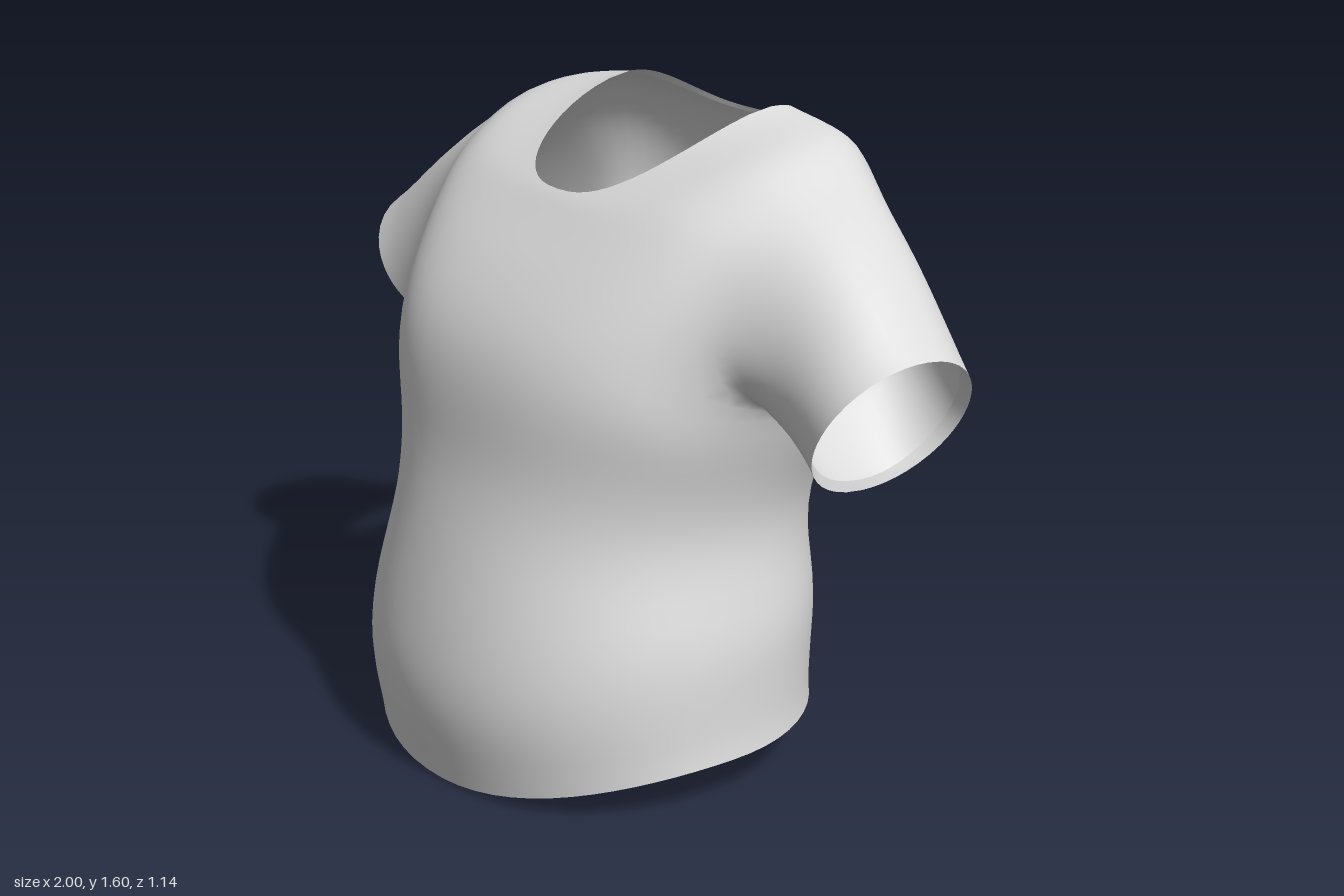
import * as THREE from 'three';

const COLS = 64, STEPS = 4, SLEEVE_RINGS = 12, HOLE_FRONT = 5, HOLE_BACK = 6;

// Torso rings, hem to neck: half width, side z, front z, back z, side y, front y, back y,
// squareness, sharpness of the front dip
const RINGS = [
  [0.588, 0.05, 0.535, -0.48, 0.12, 0.00, 0.13, 2.1, 2],
  [0.584, 0.05, 0.582, -0.493, 0.27, 0.20, 0.28, 2.1, 2],
  [0.578, 0.03, 0.558, -0.497, 0.42, 0.40, 0.42, 2.1, 2],
  [0.522, 0.00, 0.508, -0.487, 0.63, 0.62, 0.62, 2.1, 2],
  [0.553, -0.05, 0.467, -0.517, 0.80, 0.80, 0.80, 2.2, 2],
  [0.605, -0.11, 0.45, -0.553, 0.96, 0.98, 1.00, 2.4, 2],
  [0.60, -0.16, 0.405, -0.577, 1.12, 1.12, 1.18, 2.6, 2],
  [0.61, -0.18, 0.315, -0.568, 1.28, 1.24, 1.32, 2.7, 2],
  [0.605, -0.21, 0.235, -0.54, 1.445, 1.32, 1.41, 2.6, 1.8],
  [0.53, -0.24, 0.185, -0.50, 1.552, 1.37, 1.48, 2.5, 1.5],
  [0.40, -0.27, 0.16, -0.47, 1.582, 1.395, 1.515, 2.5, 1.3],
  [0.275, -0.28, 0.14, -0.44, 1.602, 1.41, 1.535, 2.5, 1.2],
];
const ROWS = (RINGS.length - 1) * STEPS;
const HOLE_LOW = 5 * STEPS + 1, HOLE_HIGH = 8 * STEPS + 2;

// Smooth interpolation between the ring profiles
function ringAt(row) {
  const k = Math.min(Math.floor(row / STEPS), RINGS.length - 2), t = row / STEPS - k;
  const a = RINGS[Math.max(k - 1, 0)], b = RINGS[k], c = RINGS[k + 1];
  const d = RINGS[Math.min(k + 2, RINGS.length - 1)];
  return b.map((v, i) => v + 0.5 * t * (c[i] - a[i]
    + t * (2 * a[i] - 5 * v + 4 * c[i] - d[i] + t * (3 * (v - c[i]) + d[i] - a[i]))));
}

function torsoPoint(row, col) {
  const [w, zs, zf, zb, ys, yf, yb, n, dip] = ringAt(row);
  const a = col / COLS * Math.PI * 2, s = Math.sin(a), c = Math.cos(a);
  const bend = (v) => Math.sign(v) * Math.abs(v) ** (2 / n);
  const x = w * bend(s) + 0.005 + 0.008 * (row / ROWS) ** 8;
  const y = c > 0 ? ys + (yf - ys) * c ** dip : ys + (yb - ys) * c * c;
  let z = zs + Math.abs(bend(c)) * ((c > 0 ? zf : zb) - zs);
  // soft cloth folds across the lower back
  const fade = Math.max(0, 1 - Math.abs(y - 0.58) / 0.35) * Math.max(0, -c);
  z += 0.009 * fade * Math.sin(y * 24 + x * 3);
  return new THREE.Vector3(x, y, z);
}

// Relaxes the mesh so the sleeves flow into the body; pinned points stay put
function relax(points, index, pinned, passes) {
  const near = points.map(() => new Set());
  for (let i = 0; i < index.length; i += 3) {
    for (let j = 0; j < 3; j++) {
      const a = index[i + j], b = index[i + (j + 1) % 3];
      near[a].add(b);
      near[b].add(a);
    }
  }
  for (let p = 0; p < passes; p++) {
    const old = points.map((v) => v.clone());
    points.forEach((v, i) => {
      if (pinned.has(i) || !near[i].size) return;
      const mean = new THREE.Vector3();
      near[i].forEach((j) => mean.add(old[j]));
      v.lerp(mean.divideScalar(near[i].size), 0.5);
    });
  }
}

function makeGeometry(points, index) {
  const g = new THREE.BufferGeometry().setFromPoints(points);
  g.setIndex(index);
  g.computeVertexNormals();
  return g;
}

function bridge(index, lower, upper) {
  lower.forEach((a, i) => {
    const j = (i + 1) % lower.length;
    index.push(a, lower[j], upper[i], lower[j], upper[j], upper[i]);
  });
}

export function createModel() {
  const group = new THREE.Group();
  group.name = 'shirt';
  const cloth = new THREE.MeshStandardMaterial({ color: 0xdcdcdc, side: THREE.DoubleSide });
  cloth.name = 'grey cloth';

  const points = [], index = [], pinned = new Set(), folds = [];
  const id = (r, c) => r * COLS + (c + COLS) % COLS;
  const rowLoop = (r) => Array.from({ length: COLS }, (_, c) => id(r, c));
  const holes = [
    { side: 1, lo: COLS / 4 - HOLE_FRONT, hi: COLS / 4 + HOLE_BACK },
    { side: -1, lo: COLS * 3 / 4 - HOLE_BACK, hi: COLS * 3 / 4 + HOLE_FRONT },
  ];

  // Torso with armholes left open
  for (let r = 0; r <= ROWS; r++) {
    for (let c = 0; c < COLS; c++) points.push(torsoPoint(r, c));
  }
  for (let r = 0; r < ROWS; r++) {
    for (let c = 0; c < COLS; c++) {
      if (r >= HOLE_LOW && r < HOLE_HIGH && holes.some((h) => c >= h.lo && c < h.hi)) continue;
      const a = id(r, c), b = id(r, c + 1), d = id(r + 1, c), e = id(r + 1, c + 1);
      index.push(a, b, d, b, e, d);
    }
  }
  folds.push(['hemFold', rowLoop(0), rowLoop(1)], ['neckFold', rowLoop(ROWS), rowLoop(ROWS - 1)]);

  // Sleeves: each armhole edge is drawn out to a tilted oval cuff
  for (const { side, lo, hi } of holes) {
    const cells = [];
    for (let c = lo; c < hi; c++) cells.push([HOLE_LOW, c]);
    for (let r = HOLE_LOW; r < HOLE_HIGH; r++) cells.push([r, hi]);
    for (let c = hi; c > lo; c--) cells.push([HOLE_HIGH, c]);
    for (let r = HOLE_HIGH; r > HOLE_LOW; r--) cells.push([r, lo]);

    // round the armhole from a rectangle to an oval
    const rMid = (HOLE_LOW + HOLE_HIGH) / 2, rHalf = (HOLE_HIGH - HOLE_LOW) / 2;
    const cMid = (lo + hi) / 2, cHalf = (hi - lo) / 2;
    const hole = cells.map(([r, c]) => {
      const u = (c - cMid) / cHalf, v = (r - rMid) / rHalf;
      points[id(r, c)] = torsoPoint(rMid + rHalf * v * Math.sqrt(1 - u * u / 2),
        cMid + cHalf * u * Math.sqrt(1 - v * v / 2));
      return id(r, c);
    });

    const box = new THREE.Box3().setFromPoints(hole.map((i) => points[i]));
    const mid = box.getCenter(new THREE.Vector3()), size = box.getSize(new THREE.Vector3());
    const cuff = hole.map((i) => {
      const a = Math.atan2((points[i].y - mid.y) / size.y, (points[i].z - mid.z) / size.z);
      const s = Math.sin(a), c = Math.cos(a);
      return new THREE.Vector3(side * (0.89 + 0.11 * s), 0.997 + 0.183 * s, -0.147 + 0.225 * c + 0.03 * s);
    });
    let last = hole;
    for (let j = 1; j <= SLEEVE_RINGS; j++) {
      const t = j / SLEEVE_RINGS, swell = Math.sin(Math.PI * t);
      const ring = hole.map((h, i) => {
        const p = points[h].clone().lerp(cuff[i], t);
        p.y += 0.06 * swell * Math.max(0, (points[h].y - mid.y) / size.y);
        p.z -= 0.07 * swell * Math.max(0, (points[h].z - mid.z) / size.z);
        return points.push(p) - 1;
      });
      bridge(index, last, ring);
      if (j === SLEEVE_RINGS) {
        ring.forEach((i) => pinned.add(i));
        folds.push([side > 0 ? 'leftCuffFold' : 'rightCuffFold', ring, last]);
      }
      last = ring;
    }
  }

  rowLoop(0).concat(rowLoop(ROWS)).forEach((i) => pinned.add(i));
  relax(points, index, pinned, 6);
  const geometry = makeGeometry(points, index);
  const body = new THREE.Mesh(geometry, cloth);
  body.name = 'bodyAndSleeves';
  group.add(body);

  // Narrow turned-in folds inside every opening
  const normals = geometry.attributes.normal;
  for (const [name, edge, inner] of folds) {
    const n = edge.length, strip = [];
    const tucked = inner.map((i) => points[i].clone()
      .addScaledVector(new THREE.Vector3().fromBufferAttribute(normals, i), -0.01));
    bridge(strip, edge.map((_, i) => i), inner.map((_, i) => n + i));
    if (name === 'hemFold') strip.reverse();
    const fold = new THREE.Mesh(makeGeometry([...edge.map((i) => points[i]), ...tucked], strip), cloth);
    fold.name = name;
    group.add(fold);
  }
  return group;
}
